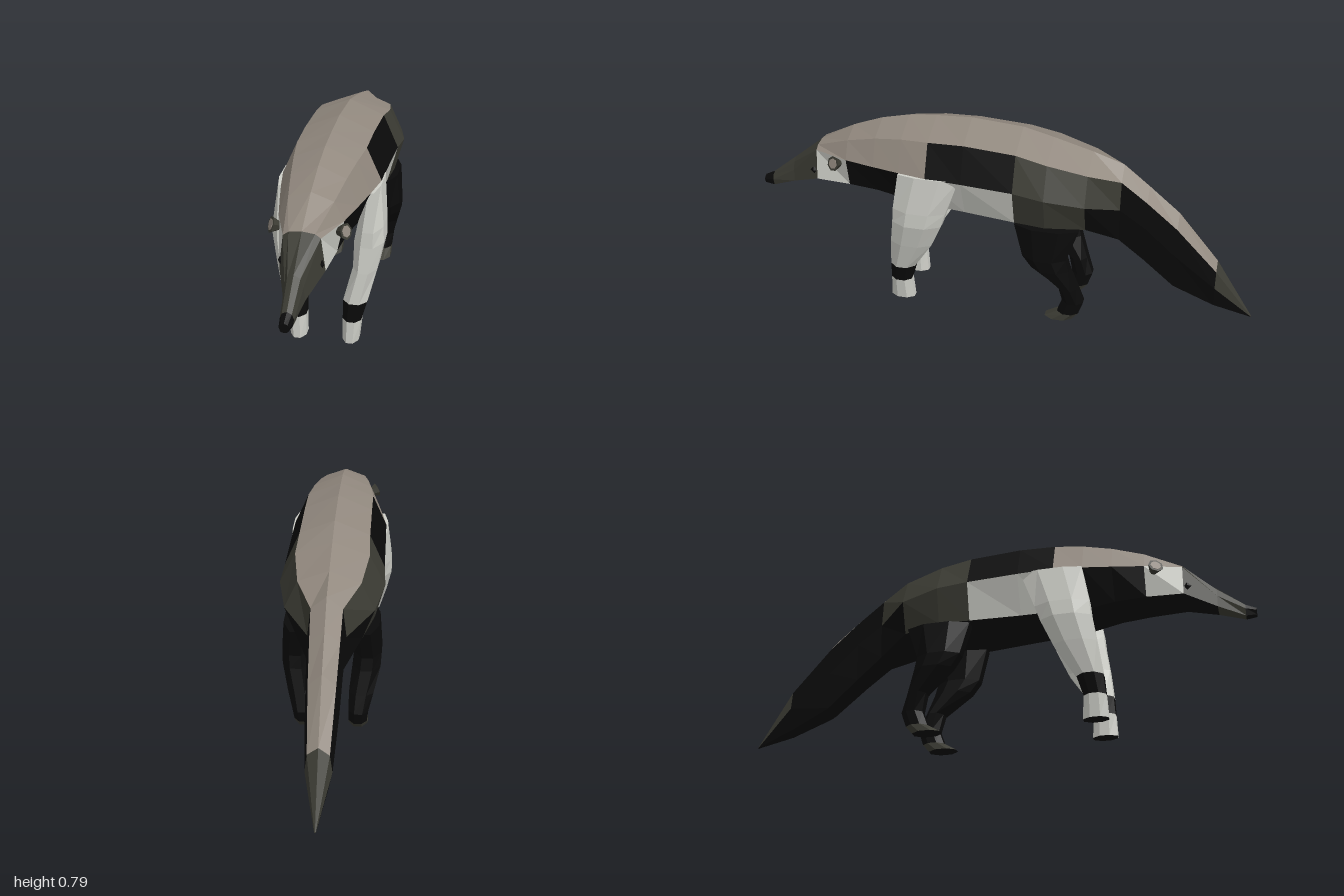
import * as THREE from 'three';

const paint = (name, color) => {
  const m = new THREE.MeshStandardMaterial({ color });
  m.name = name;
  return m;
};

// Skins a row of rings with flat faces; code(i, j) gives the colour of each quad
function loft(name, rings, code, mats, capStart, capEnd) {
  const buckets = {};
  const tri = (key, ...pts) => (buckets[key] ??= []).push(...pts.flat());
  const n = rings[0].length;
  for (let i = 0; i < rings.length - 1; i++) {
    for (let j = 0; j < n; j++) {
      const k = (j + 1) % n;
      const [a, b, c, d] = [rings[i][j], rings[i][k], rings[i + 1][k], rings[i + 1][j]];
      tri(code(i, j), a, b, c);
      tri(code(i, j), a, c, d);
    }
  }
  const first = rings[0], last = rings[rings.length - 1];
  for (let j = 1; j < n - 1; j++) {
    tri(capStart, first[0], first[j + 1], first[j]);
    tri(capEnd, last[0], last[j], last[j + 1]);
  }
  const geo = new THREE.BufferGeometry();
  const pos = [], used = [];
  for (const [key, list] of Object.entries(buckets)) {
    geo.addGroup(pos.length / 3, list.length / 3, used.length);
    used.push(mats[key]);
    for (const v of list) pos.push(v);
  }
  geo.setAttribute('position', new THREE.Float32BufferAttribute(pos, 3));
  geo.computeVertexNormals();
  const mesh = new THREE.Mesh(geo, used);
  mesh.name = name;
  return mesh;
}

// Eight-sided upright ring; shoulders and lower edges follow from spine, flank and belly
function bodyRing([z, top, flankX, flankY, lowX, belly]) {
  const shoulderX = flankX * (z > -.4 ? .7 : .82);
  const shoulderY = THREE.MathUtils.lerp(top, flankY, .3);
  const lowY = THREE.MathUtils.lerp(belly, flankY, .18);
  return [
    [0, top, z], [shoulderX, shoulderY, z], [flankX, flankY, z], [lowX, lowY, z],
    [0, belly, z], [-lowX, lowY, z], [-flankX, flankY, z], [-shoulderX, shoulderY, z],
  ];
}

// Eight-sided level ring filling the given x and z ranges
function legRing([y, xi, xo, zb, zf], side) {
  const ring = [];
  for (let k = 0; k < 8; k++) {
    const t = (k + 0.5) * Math.PI / 4, s = 1 / Math.cos(Math.PI / 8);
    ring.push([
      side * (xi + xo) / 2 + Math.cos(t) * s * (xo - xi) / 2, y,
      (zb + zf) / 2 + Math.sin(t) * s * (zf - zb) / 2,
    ]);
  }
  return ring;
}

// Snout to tail: z, spine y, flank x, flank y, lower x, belly y
const BODY = [
  [1, .425, .018, .41, .012, .39], [.96, .445, .024, .418, .018, .385],
  [.86, .525, .032, .48, .038, .422], [.74, .622, .065, .602, .08, .455],
  [.6, .7, .115, .6, .09, .455], [.48, .745, .142, .6, .095, .445],
  [.37, .77, .165, .6, .1, .42], [.26, .78, .185, .6, .12, .415],
  [.12, .787, .187, .595, .13, .41], [-.08, .772, .19, .585, .15, .405],
  [-.2, .742, .197, .57, .16, .405], [-.35, .7, .165, .545, .12, .4],
  [-.47, .66, .07, .5, .06, .335], [-.57, .58, .066, .43, .052, .25],
  [-.69, .48, .06, .32, .045, .145], [-.85, .29, .048, .19, .03, .083],
  [-1, .055, .003, .052, .002, .05],
];
// Colours of the four bands, spine to belly, between neighbouring sections
const BANDS = ('KKKK OOOO OOOK TTLK TTKK TTKK TTKK TKLK TKLK ' +
  'TOOK TOOK TOKK TKKK TKKK TKKK OOKK').split(' ');

// Leg rings from the top down: y, inner x, outer x, back z, front z
const FRONT_LEG = [
  [.6, .14, .19, .13, .37], [.45, .11, .207, .185, .395], [.39, .1, .21, .205, .4],
  [.29, .1, .19, .25, .415], [.165, .07, .16, .33, .43],
  [.09, .07, .14, .352, .435], [0, .07, .13, .345, .44],
];
const HIND_LEG = [
  [.43, .075, .18, -.33, -.08], [.3, .085, .19, -.285, -.115], [.25, .08, .187, -.297, -.15],
  [.16, .07, .163, -.328, -.255], [.09, .07, .145, -.353, -.27],
  [.035, .07, .14, -.335, -.25], [.005, .068, .142, -.31, -.2],
];

export function createModel() {
  const mats = {
    T: paint('taupe fur', 0x91887e),
    L: paint('pale fur', 0xcdcec7),
    O: paint('dark olive fur', 0x3b3b33),
    K: paint('black fur', 0x0a0a0a),
  };
  const model = new THREE.Group();
  model.name = 'anteater';

  // Snout, trunk and tail in one skin
  const band = (i, j) => BANDS[i][j < 4 ? j : 7 - j];
  model.add(loft('bodyAndTail', BODY.map(bodyRing), band, mats, 'K', 'O'));

  for (const side of [1, -1]) {
    const label = side > 0 ? 'left' : 'right';

    // Legs
    model.add(loft(label + 'FrontLeg', FRONT_LEG.map(r => legRing(r, side)),
      i => (i === 4 ? 'K' : 'L'), mats, 'L', 'K'));
    model.add(loft(label + 'HindLeg', HIND_LEG.map(r => legRing(r, side)),
      i => (i === 5 ? 'O' : 'K'), mats, 'K', 'K'));

    // Ear: a flared cup with a paler lining
    const ear = new THREE.Group();
    ear.name = label + 'Ear';
    const cup = new THREE.CylinderGeometry(.03, .014, .035, 7).toNonIndexed();
    cup.computeVertexNormals();
    const shell = new THREE.Mesh(cup, mats.O);
    shell.name = 'earShell';
    const lining = new THREE.Mesh(new THREE.CylinderGeometry(.021, .021, .003, 7), mats.T);
    lining.name = 'earLining';
    lining.position.y = .018;
    ear.add(shell, lining);
    ear.position.set(side * .116, .582, .64);
    ear.quaternion.setFromUnitVectors(new THREE.Vector3(0, 1, 0),
      new THREE.Vector3(side * .85, .3, .42).normalize());
    model.add(ear);

    // Eye
    const eye = new THREE.Mesh(new THREE.OctahedronGeometry(.016), mats.K);
    eye.name = label + 'Eye';
    eye.scale.x = .5;
    eye.position.set(side * .072, .515, .755);
    model.add(eye);
  }
  return model;
}
